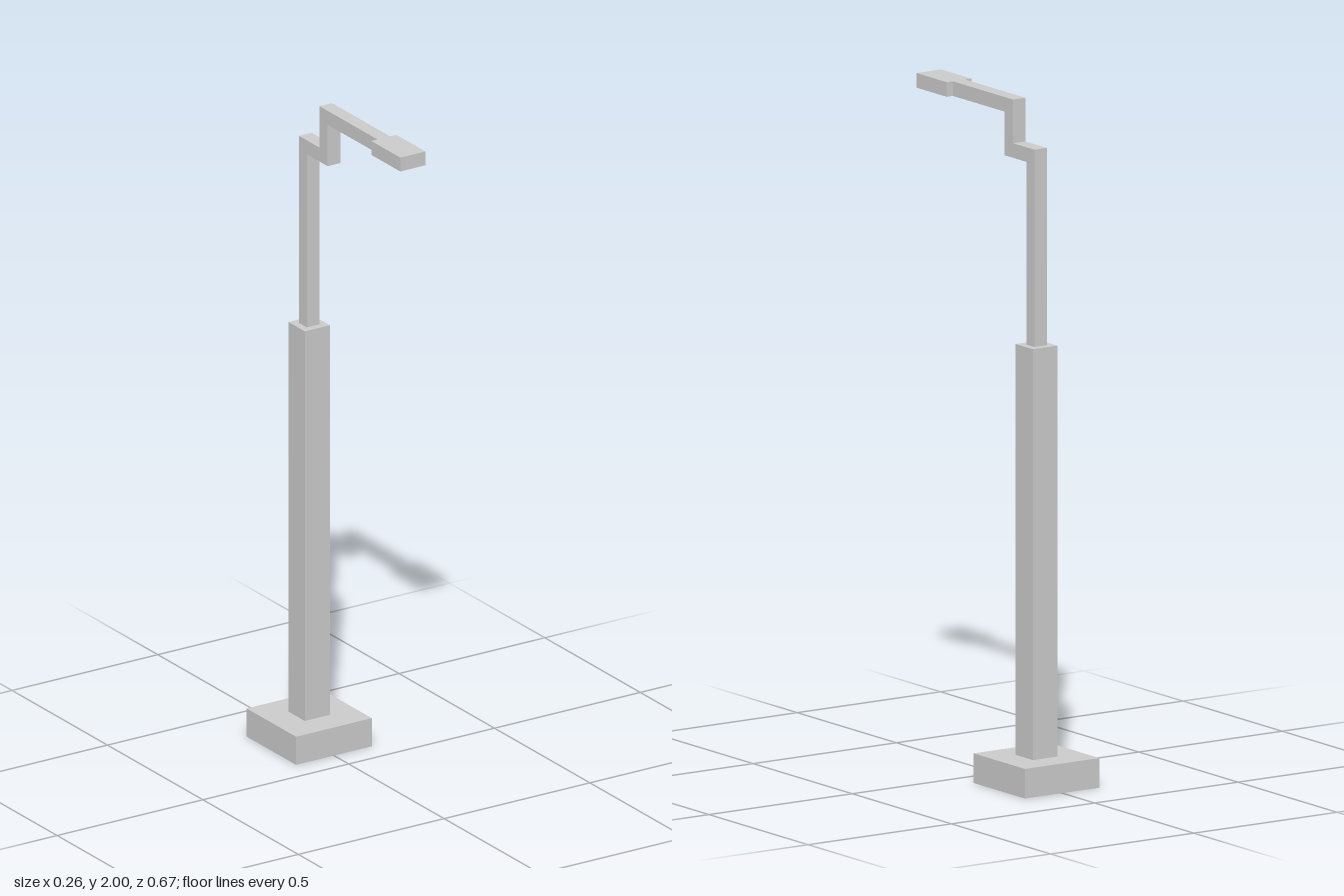
import * as THREE from 'three';

const material = new THREE.MeshStandardMaterial({ color: 0xcccccc, flatShading: true });

// Box given by its width in x and its extents in y and z, centred on x = 0
function box(name, width, y0, y1, z0, z1) {
  const geometry = new THREE.BoxGeometry(width, y1 - y0, z1 - z0);
  const mesh = new THREE.Mesh(geometry, material);
  mesh.name = name;
  mesh.position.set(0, (y0 + y1) / 2, (z0 + z1) / 2);
  return mesh;
}

// Stepped bar: upper pole, elbow, riser and arm as one side profile (z, y)
function steppedArm(name, width) {
  const profile = [
    [-0.228, 1.293], [-0.186, 1.293], [-0.186, 1.829], [-0.077, 1.829],
    [-0.077, 1.957], [0.184, 1.957], [0.184, 2], [-0.12, 2],
    [-0.12, 1.872], [-0.228, 1.872],
  ];
  const shape = new THREE.Shape(profile.map(([z, y]) => new THREE.Vector2(z, y)));
  const geometry = new THREE.ExtrudeGeometry(shape, { depth: width, bevelEnabled: false });
  geometry.translate(0, 0, -width / 2);
  geometry.rotateY(-Math.PI / 2);
  const mesh = new THREE.Mesh(geometry, material);
  mesh.name = name;
  return mesh;
}

export function createModel() {
  const group = new THREE.Group();
  group.name = 'streetLamp';
  group.add(
    box('base', 0.26, 0, 0.087, -0.336, -0.077),
    box('lowerPost', 0.086, 0.087, 1.293, -0.25, -0.164),
    steppedArm('upperPoleAndArm', 0.043),
    box('lampHead', 0.086, 1.957, 2, 0.184, 0.336),
  );
  return group;
}
